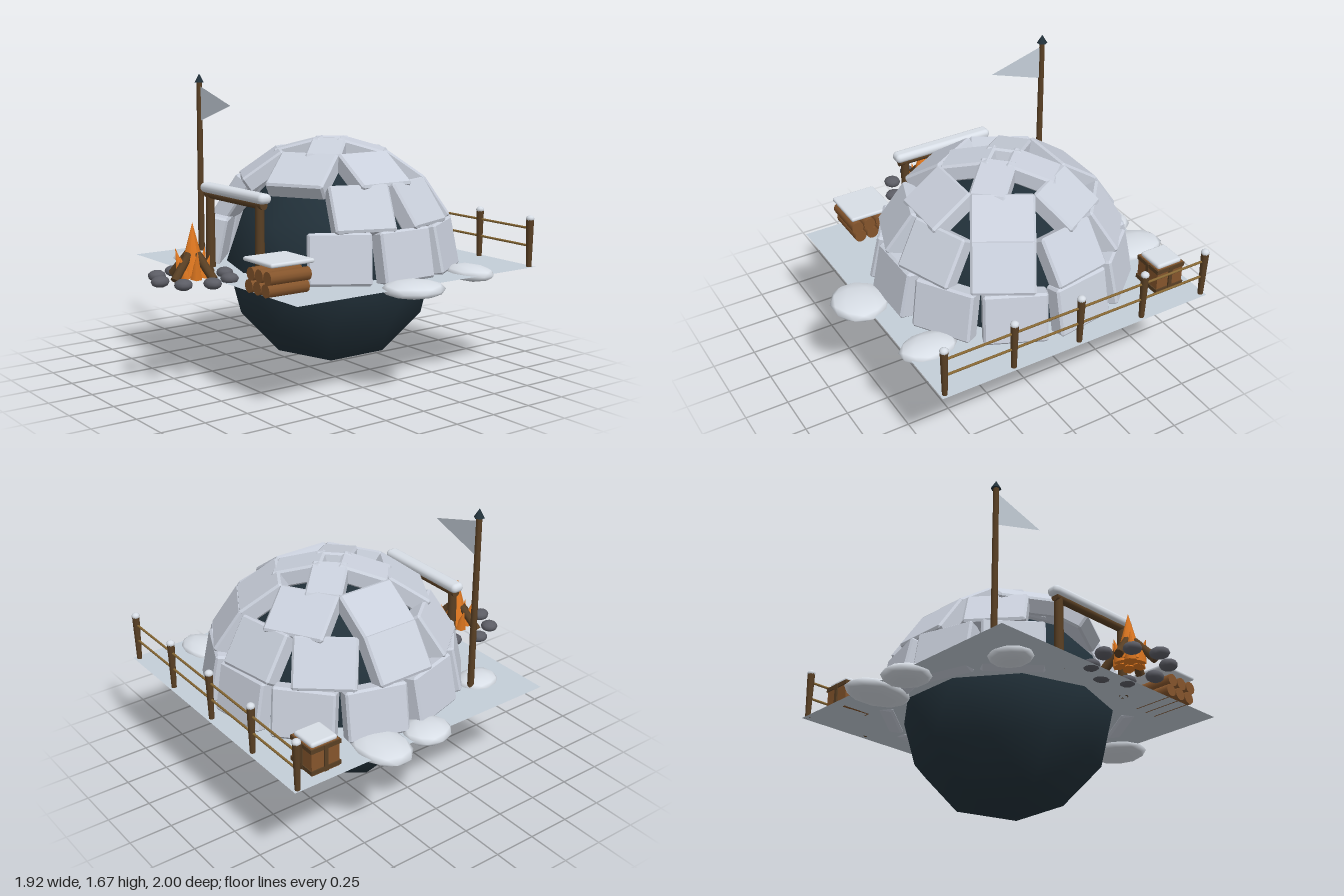
import * as THREE from 'three';
import { ConvexGeometry } from 'three/addons/geometries/ConvexGeometry.js';
import { RoundedBoxGeometry } from 'three/addons/geometries/RoundedBoxGeometry.js';

const mat = (name, color, side = THREE.FrontSide) => {
  const m = new THREE.MeshStandardMaterial({ color, side });
  m.name = name;
  return m;
};

// Box with chamfered edges and flat faces
function chamferBox(w, h, d, c) {
  const pts = [];
  for (const x of [-1, 1]) for (const y of [-1, 1]) for (const z of [-1, 1]) {
    const [a, b, e] = [w / 2, h / 2, d / 2];
    pts.push(new THREE.Vector3(x * a, y * (b - c), z * (e - c)));
    pts.push(new THREE.Vector3(x * (a - c), y * b, z * (e - c)));
    pts.push(new THREE.Vector3(x * (a - c), y * (b - c), z * e));
  }
  return new ConvexGeometry(pts);
}

// Once-subdivided icosahedron with a vertex at each pole
const icosphere = (r) => new THREE.IcosahedronGeometry(r, 1).rotateZ(-Math.atan(0.618034));

export function createModel() {
  const root = new THREE.Group();
  root.name = 'iceHouse';
  const dark = mat('dark slate', 0x22313a);
  const ice = mat('ice', 0xc9cfdb);
  const snow = mat('snow', 0xd8dee6);
  const groundMat = mat('packed snow', 0xc4ced8, THREE.DoubleSide);
  const wood = mat('dark wood', 0x5a4024);
  const logWood = mat('log wood', 0x85552c);
  const railWood = mat('rail wood', 0x8a6a35);
  const stone = mat('stone', 0x5c5d65);
  const fire = mat('flame orange', 0xe07820);

  const add = (name, geo, material, x, y, z, parent = root) => {
    const m = new THREE.Mesh(geo, material);
    m.name = name;
    m.position.set(x, y, z);
    parent.add(m);
    return m;
  };
  const group = (name) => {
    const g = new THREE.Group();
    g.name = name;
    root.add(g);
    return g;
  };
  // Cylinder from point a to point b
  const bar = (name, a, b, ra, rb, material, parent = root, sides = 10) => {
    const A = new THREE.Vector3(...a), B = new THREE.Vector3(...b);
    const dir = B.clone().sub(A);
    const m = add(name, new THREE.CylinderGeometry(rb, ra, dir.length(), sides), material, 0, 0, 0, parent);
    m.position.copy(A).add(B).multiplyScalar(0.5);
    m.quaternion.setFromUnitVectors(new THREE.Vector3(0, 1, 0), dir.normalize());
    return m;
  };

  // Ground sheet and dark core of the dome
  const G = 0.6, CX = -0.03, CZ = -0.175;
  add('ground', new THREE.PlaneGeometry(1.65, 1.65).rotateX(-Math.PI / 2), groundMat, -0.025, G, CZ);
  add('domeCore', icosphere(0.6), dark, CX, G, CZ);

  // Rings of ice blocks, leaving the doorway open at the front
  const dome = group('iceBlocks');
  const rings = [
    { n: 11, start: 0, elev: 11.5, w: 0.34, door: true },
    { n: 9, start: 20, elev: 34, w: 0.34, door: true },
    { n: 6, start: 0, elev: 55, w: 0.34 },
    { n: 4, start: 45, elev: 75, w: 0.2 },
  ];
  for (const { n, start, elev, w, door } of rings) {
    const geo = chamferBox(w, 0.28, 0.1, 0.012);
    const e = THREE.MathUtils.degToRad(elev);
    for (let i = 0; i < n; i++) {
      const deg = start + (360 / n) * i;
      if (door && Math.abs(deg - 90) < 35) continue;
      const a = THREE.MathUtils.degToRad(deg);
      const dir = new THREE.Vector3(Math.cos(e) * Math.cos(a), Math.sin(e), Math.cos(e) * Math.sin(a));
      const at = (r) => dir.clone().multiplyScalar(r).add(new THREE.Vector3(CX, G, CZ));
      const b = add('iceBlock', geo, ice, 0, 0, 0, dome);
      b.position.copy(at(0.66));
      b.lookAt(at(2));
    }
  }

  // Door frame with a snowy lintel
  const door = group('doorFrame');
  for (const x of [-0.28, 0.22]) bar('doorPost', [x, G, 0.48], [x, 1.02, 0.48], 0.027, 0.024, wood, door);
  bar('lintel', [-0.31, 1.015, 0.48], [0.26, 1.015, 0.48], 0.024, 0.024, wood, door);
  add('lintelSnow', new RoundedBoxGeometry(0.62, 0.055, 0.08, 3, 0.026), snow, -0.025, 1.05, 0.48, door);

  // Flagpole
  const flag = group('flagpole');
  bar('pole', [-0.615, G, 0.34], [-0.615, 1.63, 0.34], 0.019, 0.016, wood, flag);
  add('poleTip', new THREE.ConeGeometry(0.03, 0.05, 6), dark, -0.615, 1.643, 0.34, flag);
  const pennant = new THREE.Shape([[0, 1.595], [0, 1.395], [0.325, 1.5]].map((p) => new THREE.Vector2(...p)));
  add('pennant', new THREE.ShapeGeometry(pennant), groundMat, -0.605, 0, 0.34, flag);

  // Snow mounds: x, z, half width, half depth, turn
  const mounds = [
    [-0.77, -0.41, 0.2, 0.145, 0], [-0.80, -0.13, 0.13, 0.14, 0.3], [0.67, -0.61, 0.165, 0.115, 0],
    [0.81, -0.085, 0.16, 0.175, 0], [-0.575, 0.425, 0.11, 0.125, 0.2],
  ];
  for (const [x, z, rx, rz, turn] of mounds) {
    const m = add('snowMound', icosphere(1), snow, x, G - 0.005, z);
    m.scale.set(rx, 0.045, rz);
    m.rotation.y = turn;
  }

  // Stack of firewood under snow
  const stack = group('firewood');
  for (let row = 0; row < 2; row++) for (let i = 0; i < 3; i++) {
    const x = 0.4 + i * 0.076 + row * 0.017, y = 0.635 + row * 0.066;
    bar('firewoodLog', [x, y, 0.42], [x, y, 0.67], 0.036, 0.036, logWood, stack, 12);
  }
  add('firewoodSnow', new RoundedBoxGeometry(0.265, 0.024, 0.27, 2, 0.011), snow, 0.477, 0.77, 0.537, stack);

  // Crate with battens and a snow cap
  const crate = group('crate');
  add('crateBox', new THREE.BoxGeometry(0.17, 0.16, 0.17), logWood, -0.7, 0.68, -0.77, crate);
  for (const y of [0.62, 0.745]) add('crateBand', new THREE.BoxGeometry(0.182, 0.024, 0.182), wood, -0.7, y, -0.77, crate);
  add('crateBatten', new THREE.BoxGeometry(0.188, 0.15, 0.022), wood, -0.7, 0.68, -0.77, crate);
  add('crateBatten', new THREE.BoxGeometry(0.022, 0.15, 0.188), wood, -0.7, 0.68, -0.77, crate);
  add('crateSnow', new RoundedBoxGeometry(0.16, 0.03, 0.16, 2, 0.014), snow, -0.7, 0.768, -0.77, crate);

  // Back fence
  const fence = group('fence');
  for (let i = 0; i < 5; i++) {
    const x = -0.83 + i * 0.401;
    bar('fencePost', [x, G, -0.972], [x, 0.87, -0.972], 0.015, 0.022, wood, fence, 8);
    add('fencePostSnow', new THREE.SphereGeometry(0.024, 10, 6).scale(1, 0.8, 1), snow, x, 0.875, -0.972, fence);
  }
  for (const y of [0.72, 0.82]) bar('fenceRail', [-0.83, y, -0.972], [0.775, y, -0.972], 0.007, 0.007, railWood, fence, 6);

  // Campfire: stone ring, leaning sticks and flames
  const camp = group('campfire');
  const FX = -0.03, FZ = 0.745;
  for (let i = 0; i < 8; i++) {
    const a = (i * Math.PI) / 4;
    const s = add('fireStone', icosphere(1), stone, FX + 0.2 * Math.cos(a), 0.617, FZ + 0.2 * Math.sin(a), camp);
    s.scale.set(i % 2 ? 0.05 : 0.055, 0.032, i % 2 ? 0.05 : 0.047);
    s.rotation.y = i;
  }
  for (let i = 0; i < 4; i++) {
    const a = -0.32 + (i * Math.PI) / 2, c = Math.cos(a), s = Math.sin(a);
    bar('fireStick', [FX + 0.145 * c, 0.62, FZ + 0.145 * s], [FX + 0.03 * c, 0.745, FZ + 0.03 * s], 0.025, 0.023, wood, camp, 8);
  }
  add('mainFlame', new THREE.ConeGeometry(0.075, 0.28, 8), fire, FX, 0.775, FZ, camp);
  for (let i = 0; i < 6; i++) {
    const a = 0.25 + (i * Math.PI) / 3, c = Math.cos(a), s = Math.sin(a);
    bar('smallFlame', [FX + 0.06 * c, 0.62, FZ + 0.06 * s], [FX + 0.095 * c, i % 2 ? 0.74 : 0.77, FZ + 0.095 * s], 0.034, 0.001, fire, camp, 6);
  }
  return root;
}
